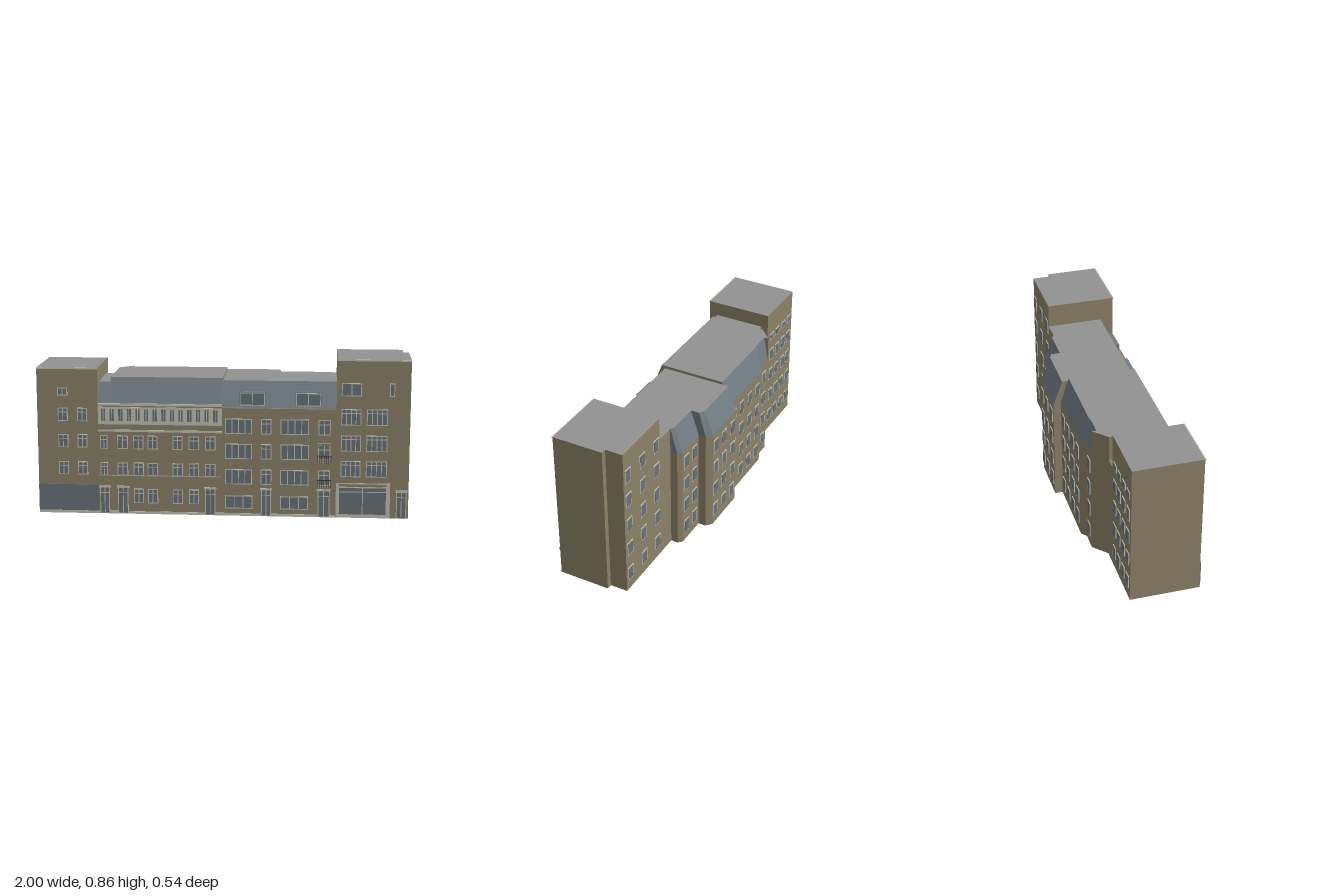
import * as THREE from 'three';

const mat = (name, color) => {
  const m = new THREE.MeshStandardMaterial({ color });
  m.name = name;
  return m;
};

export function createModel() {
  const root = new THREE.Group();
  root.name = 'terraceOfHouses';
  const wall = mat('stone wall', 0x8c8168);
  const roof = mat('flat roof grey', 0x929292);
  const slate = mat('slate', 0x717c84);
  const glass = mat('window glass', 0x67727a);
  const trim = mat('pale trim', 0xc2c2b2);
  const iron = mat('dark iron', 0x3c372f);
  const F = 0.243; // plane of the street front

  const box = (name, m, x0, x1, y0, y1, z0, z1, parent = root) => {
    const g = new THREE.Mesh(new THREE.BoxGeometry(x1 - x0, y1 - y0, z1 - z0), m);
    g.position.set((x0 + x1) / 2, (y0 + y1) / 2, (z0 + z1) / 2);
    g.name = name;
    parent.add(g);
    return g;
  };

  // Block between two [x, z] outlines; wallEdges are sides kept in wall colour
  const loft = (name, low, high, y0, y1, sideMat, capMat, wallEdges = []) => {
    const sides = [], walls = [], caps = [];
    low.forEach((a, i) => {
      const j = (i + 1) % low.length;
      const p = [a[0], y0, a[1]], q = [low[j][0], y0, low[j][1]];
      const r = [high[j][0], y1, high[j][1]], s = [high[i][0], y1, high[i][1]];
      (wallEdges.includes(i) ? walls : sides).push(...p, ...q, ...r, ...p, ...r, ...s);
    });
    const cap = (pts, y, flip) => {
      const flat = pts.map(([x, z]) => new THREE.Vector2(x, -z));
      for (const t of THREE.ShapeUtils.triangulateShape(flat, [])) {
        for (const k of flip ? [t[0], t[2], t[1]] : t) caps.push(pts[k][0], y, pts[k][1]);
      }
    };
    cap(high, y1, false);
    const topCount = caps.length;
    if (y0 === 0) cap(low, 0, true);
    const geo = new THREE.BufferGeometry();
    geo.setAttribute('position', new THREE.Float32BufferAttribute([...sides, ...walls, ...caps], 3));
    const n = [sides.length, walls.length, topCount, caps.length - topCount].map(v => v / 3);
    let start = 0;
    n.forEach((c, i) => { if (c) geo.addGroup(start, c, i); start += c; });
    geo.computeVertexNormals();
    const mesh = new THREE.Mesh(geo, [sideMat, wall, capMat, wall]);
    mesh.name = name;
    root.add(mesh);
  };
  const block = (name, plan, h, cap = roof) => loft(name, plan, plan, 0, h, wall, cap);

  // Framed window: dir 1 faces the street, -1 the yard
  const win = (name, x0, x1, y0, y1, { cols = 2, transom = 0.68, z = F, dir = 1 } = {}) => {
    const g = new THREE.Group();
    g.name = name;
    const put = (n, m, a, b, c, d, depth) =>
      box(n, m, a, b, c, d, dir > 0 ? z - 0.002 : z - depth, dir > 0 ? z + depth : z + 0.002, g);
    put('frame', trim, x0, x1, y0, y1, 0.004);
    const e = 0.005, w = (x1 - x0 - e) / cols;
    const ym = y0 + (y1 - y0) * transom;
    const rows = transom < 1 ? [[y0 + e, ym - e / 2], [ym + e / 2, y1 - e]] : [[y0 + e, y1 - e]];
    for (let i = 0; i < cols; i++) {
      for (const [a, b] of rows) put('pane', glass, x0 + e + i * w, x0 + (i + 1) * w, a, b, 0.005);
    }
    root.add(g);
  };
  const door = (x0, x1) => {
    win('door', x0, x1, 0, 0.15, { transom: 0.78 });
    box('doorHead', trim, x0 - 0.005, x1 + 0.005, 0.145, 0.155, F, F + 0.01);
  };

  // Main volumes
  block('westHouse', [[-1, F], [-0.67, F], [-0.67, -0.13], [-1, -0.13]], 0.8);
  block('friezeHouseWalls', [[-0.67, F], [0, F], [0, -0.225], [-0.4, -0.225], [-0.43, -0.2],
    [-0.53, -0.2], [-0.605, -0.13], [-0.67, -0.13]], 0.605, wall);
  block('middleHouseWalls', [[0, F], [0.61, F], [0.61, -0.138], [0.5, -0.138], [0.5, -0.178], [0.48, -0.198],
    [0.3, -0.198], [0.3, -0.24], [0.27, -0.268], [0, -0.268]], 0.59, wall);
  block('eastHouse', [[0.61, F], [1, F], [1, -0.04], [0.97, -0.04], [0.97, -0.138], [0.61, -0.138]], 0.86);

  // Mansard roofs
  loft('friezeHouseMansard',
    [[-0.605, F], [0, F], [0, -0.225], [-0.4, -0.225], [-0.43, -0.2], [-0.53, -0.2], [-0.53, -0.2], [-0.605, -0.13]],
    [[-0.605, 0.19], [0, 0.19], [0, -0.18], [-0.41, -0.18], [-0.43, -0.175], [-0.53, -0.175], [-0.53, -0.2], [-0.605, -0.13]],
    0.605, 0.745, slate, roof, [1, 5, 6, 7]);
  loft('lowMansard', [[-0.67, F], [-0.605, F], [-0.605, -0.09], [-0.67, -0.09]],
    [[-0.67, 0.195], [-0.605, 0.195], [-0.605, -0.09], [-0.67, -0.09]], 0.605, 0.72, slate, roof, [1, 2, 3]);
  loft('middleHouseMansard',
    [[0, 0.225], [0.61, 0.225], [0.61, -0.138], [0.5, -0.138], [0.5, -0.178], [0.48, -0.198],
      [0.3, -0.198], [0.3, -0.24], [0.27, -0.268], [0, -0.268]],
    [[0, 0.17], [0.61, 0.17], [0.61, -0.138], [0.5, -0.138], [0.5, -0.14], [0.48, -0.152],
      [0.3, -0.152], [0.3, -0.2], [0.27, -0.217], [0, -0.217]],
    0.59, 0.73, slate, roof, [1, 2, 9]);

  // Dormers
  for (const x of [0.09, 0.39]) {
    box('dormer', slate, x, x + 0.14, 0.6, 0.677, 0.17, 0.218);
    win('dormerWindow', x + 0.003, x + 0.137, 0.603, 0.674, { transom: 1, z: 0.218 });
  }

  // Cornices, plinth and bands
  box('westCornice', trim, -1, -0.67, 0.793, 0.801, F, F + 0.005);
  box('eastCornice', trim, 0.61, 1, 0.853, 0.861, F, F + 0.005);
  box('middleCornice', wall, 0, 0.61, 0.58, 0.593, F - 0.01, F + 0.008);
  box('friezeCornice', trim, -0.67, 0, 0.598, 0.61, F - 0.004, F + 0.007);
  box('friezeBand', trim, -0.67, 0, 0.495, 0.59, F, F + 0.004);
  box('friezeSill', trim, -0.67, 0, 0.455, 0.466, F, F + 0.006);
  box('plinth', trim, -0.67, 0.61, 0, 0.014, F, F + 0.004);
  box('longBalcony', wall, -0.67, 0, 0.165, 0.215, F, 0.265);
  for (let i = 0; i < 14; i++) {
    const x = -0.652 + i * 0.0465;
    box('friezeWindow', glass, x, x + 0.022, 0.515, 0.58, F, F + 0.006);
    box('friezeMullion', trim, x + 0.009, x + 0.013, 0.515, 0.58, F, F + 0.007);
  }

  // West house front
  for (const x of [-0.888, -0.783]) {
    for (const y of [0.215, 0.365, 0.51]) win('westWindow', x, x + 0.054, y, y + 0.073);
  }
  win('westAtticWindow', -0.888, -0.834, 0.65, 0.692, { transom: 1 });
  box('westShopfront', glass, -1, -0.67, 0.015, 0.16, F, F + 0.005);
  box('westShopSill', trim, -1, -0.67, 0, 0.015, F, F + 0.006);

  // Frieze house front
  const bays = [[-0.66, -0.62], [-0.567, -0.51], [-0.48, -0.425], [-0.403, -0.348],
    [-0.268, -0.213], [-0.18, -0.125], [-0.092, -0.037]];
  bays.forEach(([a, b], i) => {
    win('upperWindow', a, b, 0.36, 0.435);
    win('middleWindow', a, b, 0.213, 0.285);
    if (i === 0) door(-0.665, -0.612);
    else if (i === 1 || i === 6) door(a, b);
    else win('groundWindow', a, b, 0.06, 0.14);
  });

  // Middle house front
  for (const y of [0.175, 0.315, 0.452]) {
    win('wideWindow', 0.015, 0.16, y, y + 0.083, { cols: 4, transom: 1 });
    win('narrowWindow', 0.208, 0.265, y, y + 0.083);
    win('wideWindow', 0.313, 0.465, y, y + 0.083, { cols: 4, transom: 1 });
    win('balconyWindow', 0.515, 0.58, y, y + 0.083);
  }
  for (const x of [0.015, 0.313]) win('groundWindow', x, x + 0.15, 0.04, 0.112, { cols: 3, transom: 1 });
  door(0.21, 0.265);
  door(0.515, 0.58);
  box('balconyCanopy', wall, 0.508, 0.586, 0.4, 0.41, F, 0.27);
  for (const y of [0.165, 0.298]) {
    box('balconySlab', wall, 0.51, 0.585, y, y + 0.006, F, 0.265);
    box('balconyRail', iron, 0.51, 0.585, y + 0.042, y + 0.046, 0.262, 0.266);
    for (let i = 0; i < 7; i++) {
      const x = 0.51 + i * 0.012;
      box('baluster', iron, x, x + 0.003, y, y + 0.042, 0.262, 0.265);
    }
  }

  // East house front
  for (const y of [0.225, 0.365, 0.507]) {
    win('eastWindow', 0.635, 0.742, y, y + 0.088, { cols: 4, transom: 0.75 });
    win('eastWindow', 0.77, 0.882, y, y + 0.088, { cols: 4, transom: 0.75 });
  }
  win('eastAtticWindow', 0.635, 0.742, 0.665, 0.735, { transom: 1 });
  win('smallAtticWindow', 0.888, 0.916, 0.665, 0.735, { cols: 1, transom: 1 });
  box('shopSurround', trim, 0.612, 0.902, 0, 0.192, F, F + 0.002);
  box('shopFascia', wall, 0.628, 0.882, 0.172, 0.186, F, F + 0.004);
  win('shopWindow', 0.625, 0.885, 0.015, 0.17, { transom: 0.83 });
  door(0.935, 0.99);

  // Yard windows: column centres, row centres, wall plane, width, height
  const yard = (cols, rows, z, w = 0.054, h = 0.08) => {
    for (const x of cols) for (const y of rows) {
      win('yardWindow', x - w / 2, x + w / 2, y - h / 2, y + h / 2, { cols: 1, transom: 1, z, dir: -1 });
    }
  };
  yard([0.93, 0.79, 0.65], [0.1, 0.26, 0.41, 0.565, 0.715], -0.138);
  yard([0.35, 0.44], [0.09, 0.23, 0.37, 0.51], -0.198, 0.05);
  yard([0.045, 0.145, 0.24], [0.09, 0.23, 0.37, 0.51], -0.268, 0.052);
  yard([-0.055, -0.15, -0.25, -0.345], [0.09, 0.23, 0.37, 0.51], -0.225, 0.052);
  yard([-0.48], [0.09, 0.23, 0.37, 0.51], -0.2, 0.05);
  yard([-0.725, -0.8, -0.88, -0.955], [0.1, 0.245, 0.385, 0.52], -0.13, 0.05, 0.072);
  yard([-0.725, -0.8, -0.88, -0.955], [0.64], -0.13, 0.05, 0.042);
  return root;
}
